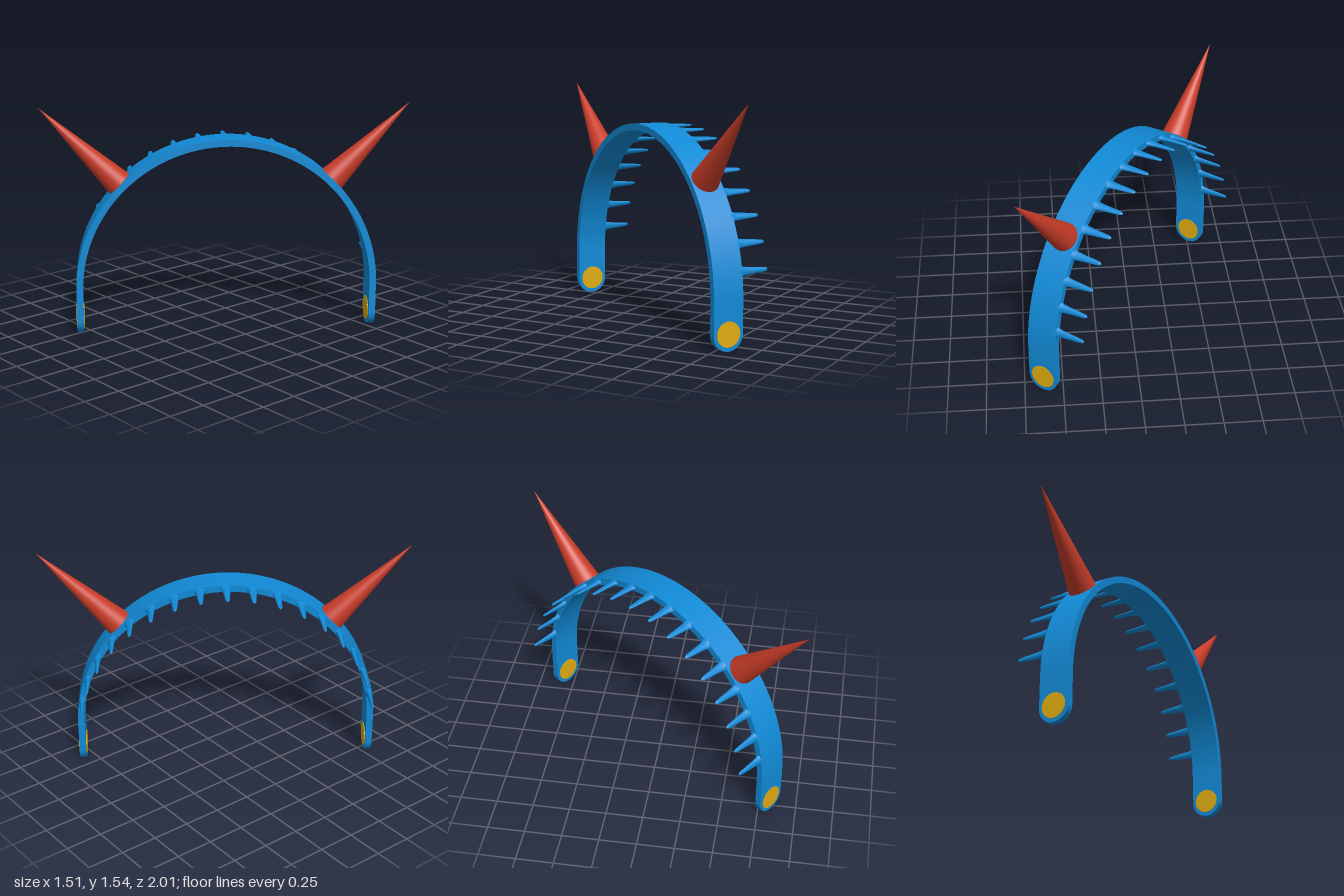
import * as THREE from 'three';
import { toCreasedNormals } from 'three/addons/utils/BufferGeometryUtils.js';

export function createModel() {
  const blue = new THREE.MeshStandardMaterial({ color: 0x118ad6 });
  blue.name = 'blue';
  const red = new THREE.MeshStandardMaterial({ color: 0xc83c28 });
  red.name = 'red';
  const yellow = new THREE.MeshStandardMaterial({ color: 0xe0ac10 });
  yellow.name = 'yellow';

  const R = 1.015, T = 0.045, r = R - T, mid = R - T / 2; // arch radii
  const CY = 0.315;  // height of the arch centre
  const END = 0.105; // height where the straight legs become round
  const HALF = 0.104; // half the band width

  const model = new THREE.Group();
  model.name = 'headband';
  const add = (name, geometry, material) => {
    const mesh = new THREE.Mesh(geometry, material);
    mesh.name = name;
    model.add(mesh);
    return mesh;
  };

  // Band: half ring with short straight legs
  const arch = new THREE.Shape();
  arch.moveTo(R, END);
  arch.lineTo(R, CY);
  arch.absarc(0, CY, R, 0, Math.PI, false);
  arch.lineTo(-R, END);
  arch.lineTo(-r, END);
  arch.lineTo(-r, CY);
  arch.absarc(0, CY, r, Math.PI, 0, true);
  arch.lineTo(r, END);
  const band = new THREE.ExtrudeGeometry(arch, { depth: 2 * HALF, bevelEnabled: false, curveSegments: 72 });
  band.translate(0, 0, -HALF);
  add('band', toCreasedNormals(band, 0.6), blue);

  // Rounded ends, yellow studs through them, and horns
  const endGeo = new THREE.CylinderGeometry(HALF, HALF, T, 32, 1, false, Math.PI, Math.PI).rotateZ(Math.PI / 2);
  const studGeo = new THREE.CylinderGeometry(0.082, 0.082, T + 0.008, 40).rotateZ(Math.PI / 2);
  const hornGeo = new THREE.ConeGeometry(0.095, 0.745, 48).translate(0, 0.991 + 0.745 / 2, 0);
  for (const [side, label] of [[-1, 'right'], [1, 'left']]) {
    add(label + 'End', endGeo, blue).position.set(side * mid, END, 0);
    add(label + 'Stud', studGeo, yellow).position.set(side * mid, 0.11, 0);
    const horn = add(label + 'Horn', hornGeo, red);
    horn.position.y = CY;
    horn.rotation.z = -side * Math.PI / 4;
  }

  // Comb teeth along the back edge, every ten degrees
  const profile = [[0.042, -0.01], [0.038, 0], [0.029, 0.02], [0.024, 0.06], [0.019, 0.12], [0.014, 0.175], [0.009, 0.19], [0, 0.196]];
  const toothGeo = new THREE.LatheGeometry(profile.map(([x, y]) => new THREE.Vector2(x, y)), 16);
  toothGeo.rotateX(-Math.PI / 2).scale(1, 0.6, 1).translate(0, mid, -HALF);
  for (let i = -8; i <= 8; i++) {
    const tooth = add('tooth', toothGeo, blue);
    tooth.position.y = CY;
    tooth.rotation.z = -i * Math.PI / 18;
  }

  // The band stands diagonally
  model.rotation.y = 0.959;
  model.position.x = 0.047;
  const root = new THREE.Group();
  root.name = 'hornedHeadband';
  root.add(model);
  return root;
}
